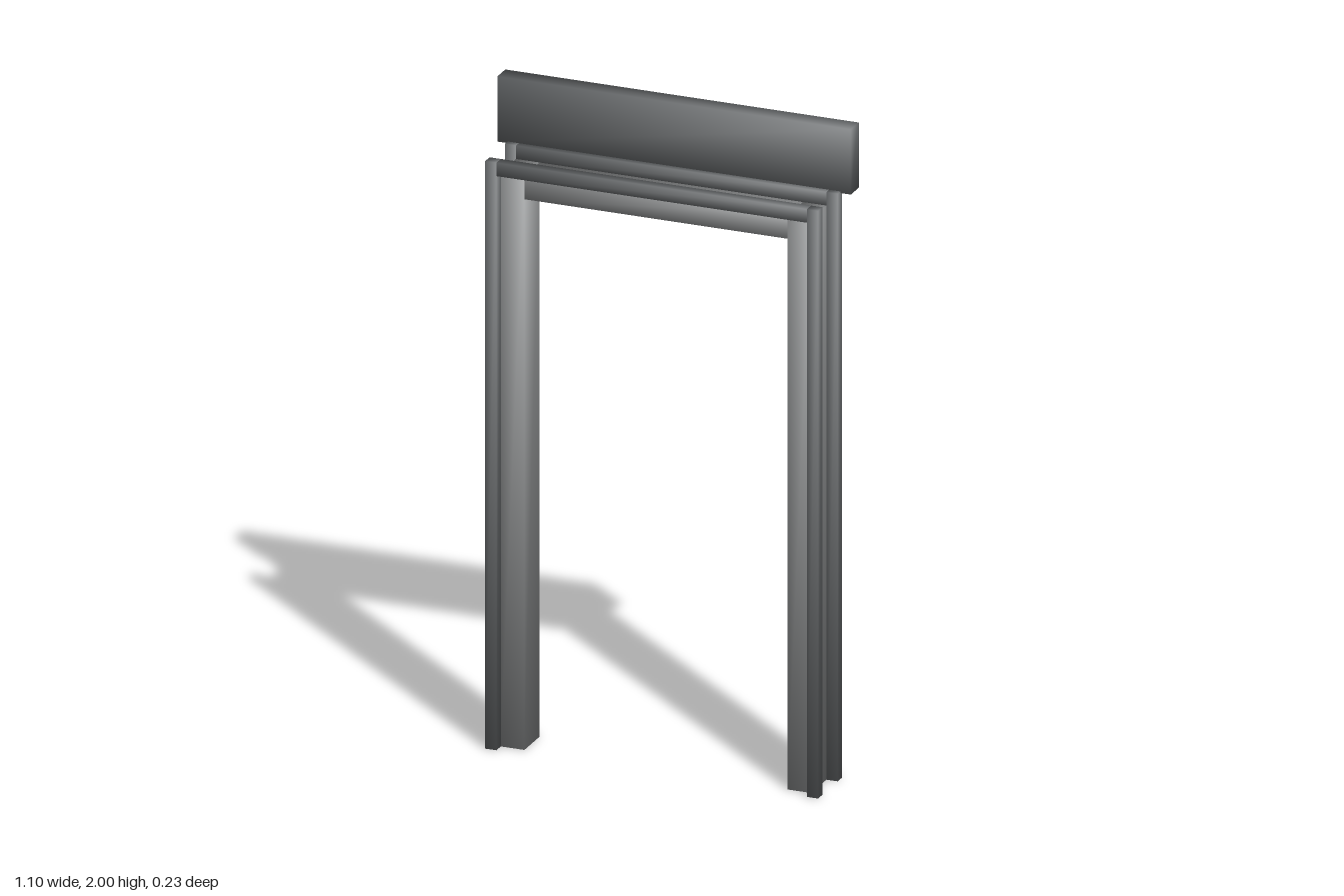
import * as THREE from 'three';

const frameMaterial = new THREE.MeshStandardMaterial({ color: 0x949697 });
const trimMaterial = new THREE.MeshStandardMaterial({ color: 0x6a6d6f });

// softly rounded shading: normals fan out from the centre of a block of the given size
function softenNormals(geometry, size) {
  const { position, normal } = geometry.attributes;
  const v = new THREE.Vector3();
  for (let i = 0; i < position.count; i++) {
    v.fromBufferAttribute(position, i).divide(size).normalize();
    normal.setXYZ(i, v.x, v.y, v.z);
  }
  return geometry;
}

export function createModel() {
  const group = new THREE.Group();
  group.name = 'doorFrame';

  const add = (name, geometry, material, x, y, z) => {
    const mesh = new THREE.Mesh(geometry, material);
    mesh.position.set(x, y, z);
    mesh.name = name;
    group.add(mesh);
  };

  // box given by its limits along each axis
  const box = (name, material, [x0, x1], [y0, y1], [z0, z1]) => {
    const size = new THREE.Vector3(x1 - x0, y1 - y0, z1 - z0);
    const geometry = softenNormals(new THREE.BoxGeometry(size.x, size.y, size.z), size);
    add(name, geometry, material, (x0 + x1) / 2, (y0 + y1) / 2, (z0 + z1) / 2);
  };

  const inner = 0.408, outer = 0.481, trimEdge = 0.516;
  const lintelBottom = 1.692, lintelTop = 1.764, trimTop = 1.805;
  const wall = [-0.034, 0.08];
  const trims = { front: [0.08, 0.113], back: [-0.065, -0.034] };

  // jambs and lintel
  for (const [side, s] of [['left', 1], ['right', -1]]) {
    const span = (a, b) => (s > 0 ? [a, b] : [-b, -a]);
    box(side + 'Jamb', frameMaterial, span(inner, outer), [0, lintelTop], wall);
    // upright trim strips just outside the jamb
    for (const [face, z] of Object.entries(trims)) {
      box(`${side} ${face} trim`, trimMaterial, span(outer, trimEdge), [0, trimTop], z);
    }
  }
  box('lintel', frameMaterial, [-inner, inner], [lintelBottom, lintelTop], wall);

  // trim strips above the lintel
  for (const [face, z] of Object.entries(trims)) {
    box(`${face} top trim`, trimMaterial, [-outer, outer], [lintelTop, trimTop], z);
  }

  // header board: a plain front layer and a rear layer with two narrow slots
  const size = new THREE.Vector3(1.096, 0.2, 0.06);
  const half = size.x / 2, slotDepth = 0.009;
  const rect = (path, x0, y0, x1, y1) =>
    path.moveTo(x0, y0).lineTo(x1, y0).lineTo(x1, y1).lineTo(x0, y1).closePath();
  const layer = (name, slots, z, depth) => {
    const shape = rect(new THREE.Shape(), -half, -0.1, half, 0.1);
    for (const x of slots) {
      shape.holes.push(rect(new THREE.Path(), x - 0.007, -0.07, x + 0.007, 0.085));
    }
    const geometry = new THREE.ExtrudeGeometry(shape, { depth, bevelEnabled: false });
    geometry.translate(0, 0, z);
    add(name, softenNormals(geometry, size), trimMaterial, 0, 1.9, -0.085);
  };
  layer('headerBoard', [], -0.03 + slotDepth, size.z - slotDepth);
  layer('headerSlottedBack', [-0.27, 0.265], -0.03, slotDepth);

  return group;
}
